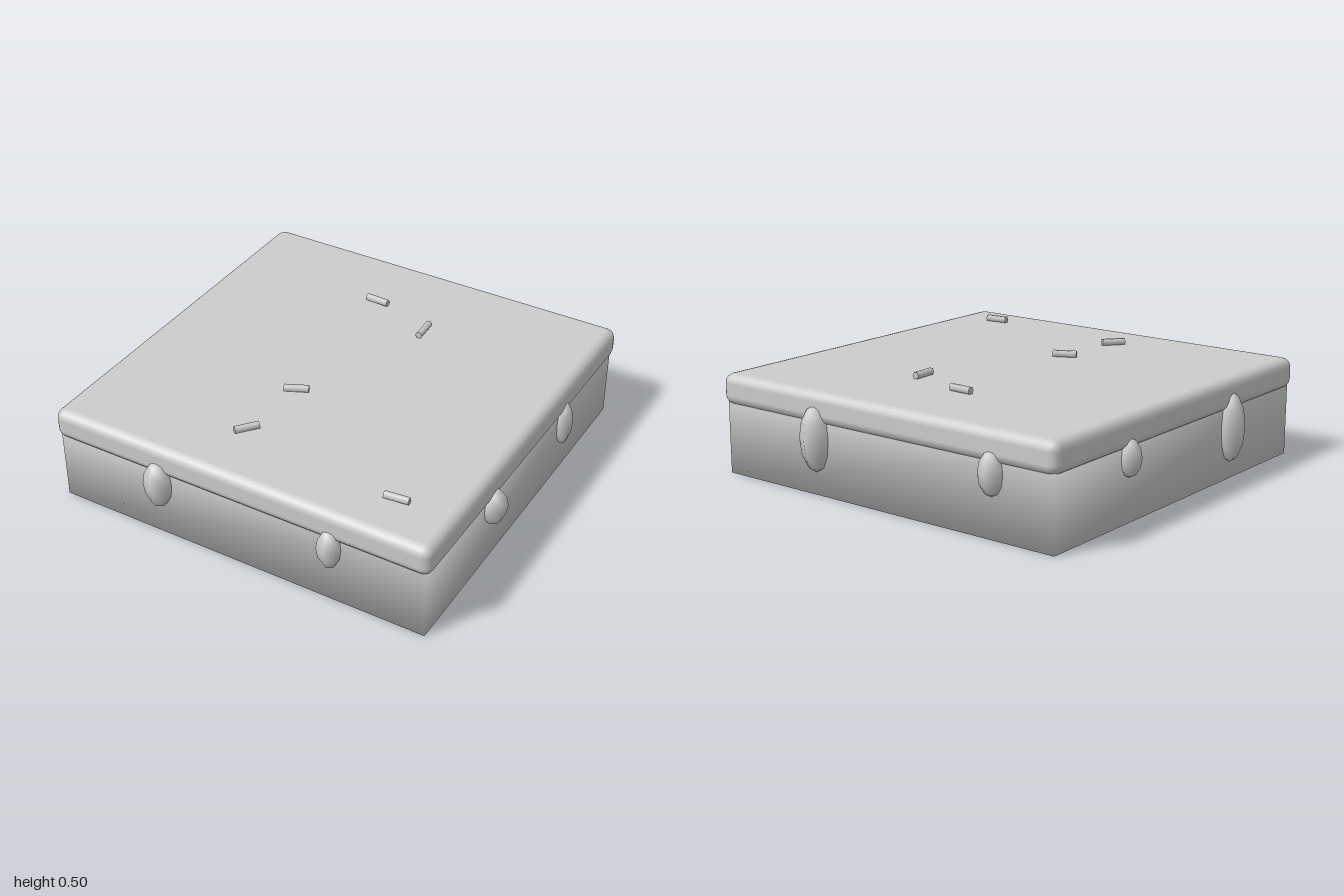
import * as THREE from 'three';
import { RoundedBoxGeometry } from 'three/addons/geometries/RoundedBoxGeometry.js';

export function createModel() {
  const model = new THREE.Group();
  model.name = 'frostedSlab';
  const grey = new THREE.MeshStandardMaterial({ color: 0xcccccc });
  grey.name = 'lightGrey';

  const add = (name, geometry, x, y, z, parent = model) => {
    const mesh = new THREE.Mesh(geometry, grey);
    mesh.name = name;
    mesh.position.set(x, y, z);
    parent.add(mesh);
    return mesh;
  };

  // Base block, shaded softly: every corner shares one diagonal normal
  const base = new THREE.BoxGeometry(1.83, 0.4, 1.83);
  const p = base.attributes.position;
  for (let i = 0; i < p.count; i++) {
    const n = new THREE.Vector3(Math.sign(p.getX(i)), Math.sign(p.getY(i)), Math.sign(p.getZ(i))).normalize();
    base.attributes.normal.setXYZ(i, n.x, n.y, n.z);
  }
  add('base', base, 0, 0.2, 0);

  // Icing slab with rounded edges
  add('icing', new RoundedBoxGeometry(1.87, 0.145, 1.87, 2, 0.045), 0, 0.395, 0);

  // Icing drips: six-sided stretched drops [x, y, z, radius, half height]
  const drops = new THREE.Group();
  drops.name = 'drips';
  model.add(drops);
  const drop = new THREE.SphereGeometry(1, 6, 6).rotateY(Math.PI / 6);
  const edge = 0.925;
  [
    [-0.387, 0.275, edge, 0.07, 0.117],
    [0.47, 0.283, edge, 0.057, 0.097],
    [-0.61, 0.283, -edge, 0.058, 0.097],
    [0.36, 0.258, -edge, 0.074, 0.15],
    [edge, 0.287, 0.34, 0.066, 0.09],
    [edge, 0.272, -0.37, 0.046, 0.115],
    [-edge, 0.246, 0.386, 0.066, 0.163],
    [-edge, 0.288, -0.415, 0.052, 0.085],
  ].forEach(([x, y, z, r, h]) => add('drip', drop, x, y, z, drops).scale.set(r, h, r));

  // Sprinkles: short hexagonal rods [x, z, turn]
  const sprinkles = new THREE.Group();
  sprinkles.name = 'sprinkles';
  model.add(sprinkles);
  const rod = new THREE.CylinderGeometry(0.017, 0.017, 0.112, 6).rotateZ(Math.PI / 2);
  [
    [-0.145, -0.55, -0.04],
    [0.168, -0.435, -1.52],
    [-0.093, 0.27, 0.44],
    [-0.123, 0.625, 0.89],
    [0.665, 0.715, 0.1],
  ].forEach(([x, z, turn]) => { add('sprinkle', rod, x, 0.484, z, sprinkles).rotation.y = turn; });

  return model;
}
